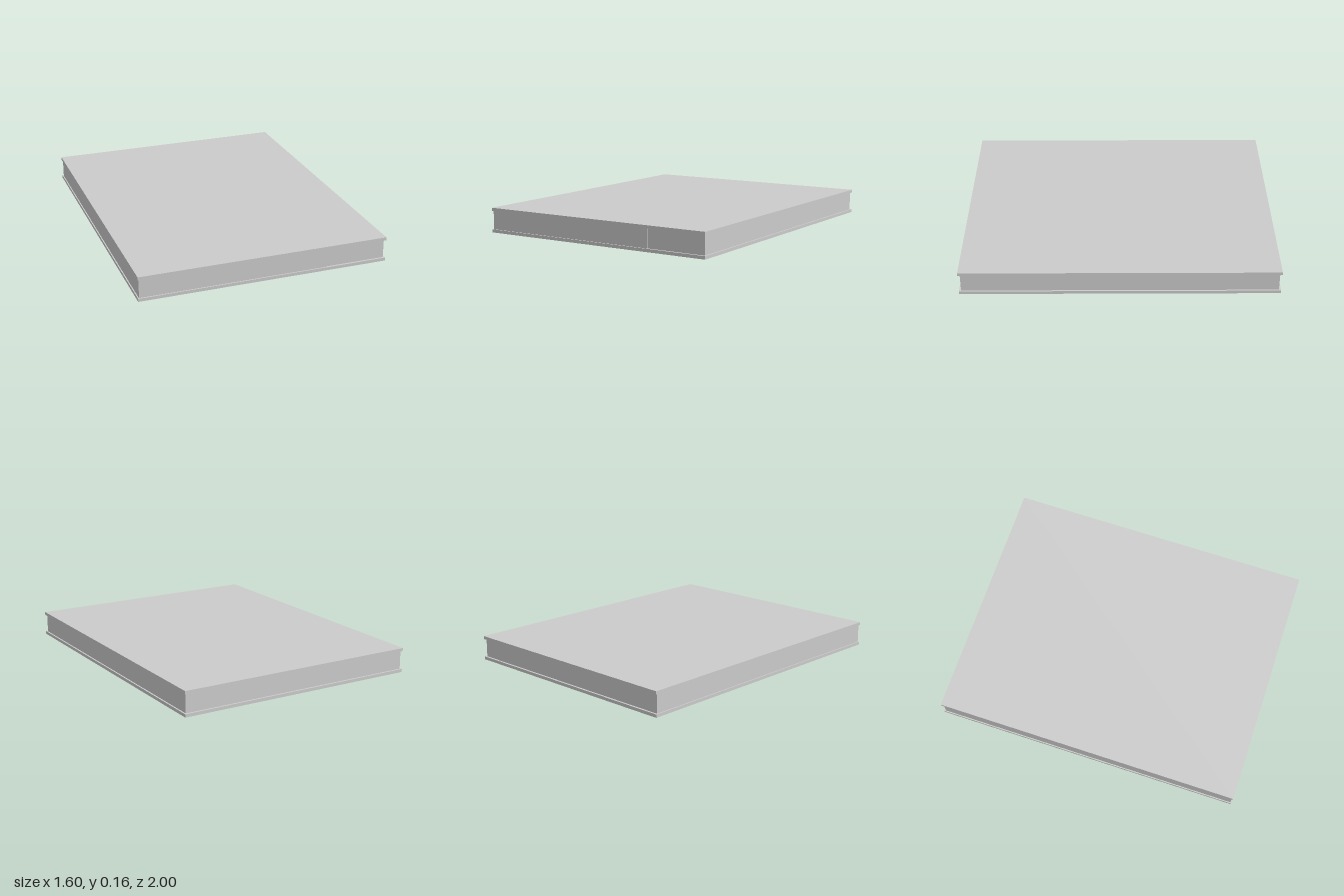
import * as THREE from 'three';

export function createModel() {
  const group = new THREE.Group();
  const material = new THREE.MeshStandardMaterial({ color: 0xcccccc });

  // Box given by its minimum and maximum corners
  function addBox(name, min, max) {
    const size = max.map((v, i) => v - min[i]);
    const mesh = new THREE.Mesh(new THREE.BoxGeometry(...size), material);
    mesh.position.set(...max.map((v, i) => (v + min[i]) / 2));
    mesh.name = name;
    group.add(mesh);
  }

  // Thin cover plates overhanging the core on every side
  addBox('bottomPlate', [-0.8, 0, -1], [0.8, 0.02, 1]);
  addBox('topPlate', [-0.8, 0.14, -1], [0.8, 0.16, 1]);

  // Core between the plates, with a fine step in its front face
  addBox('coreMain', [-0.793, 0.02, -0.987], [0.4, 0.14, 0.992]);
  addBox('coreSide', [0.4, 0.02, -0.987], [0.79, 0.14, 0.987]);

  return group;
}
